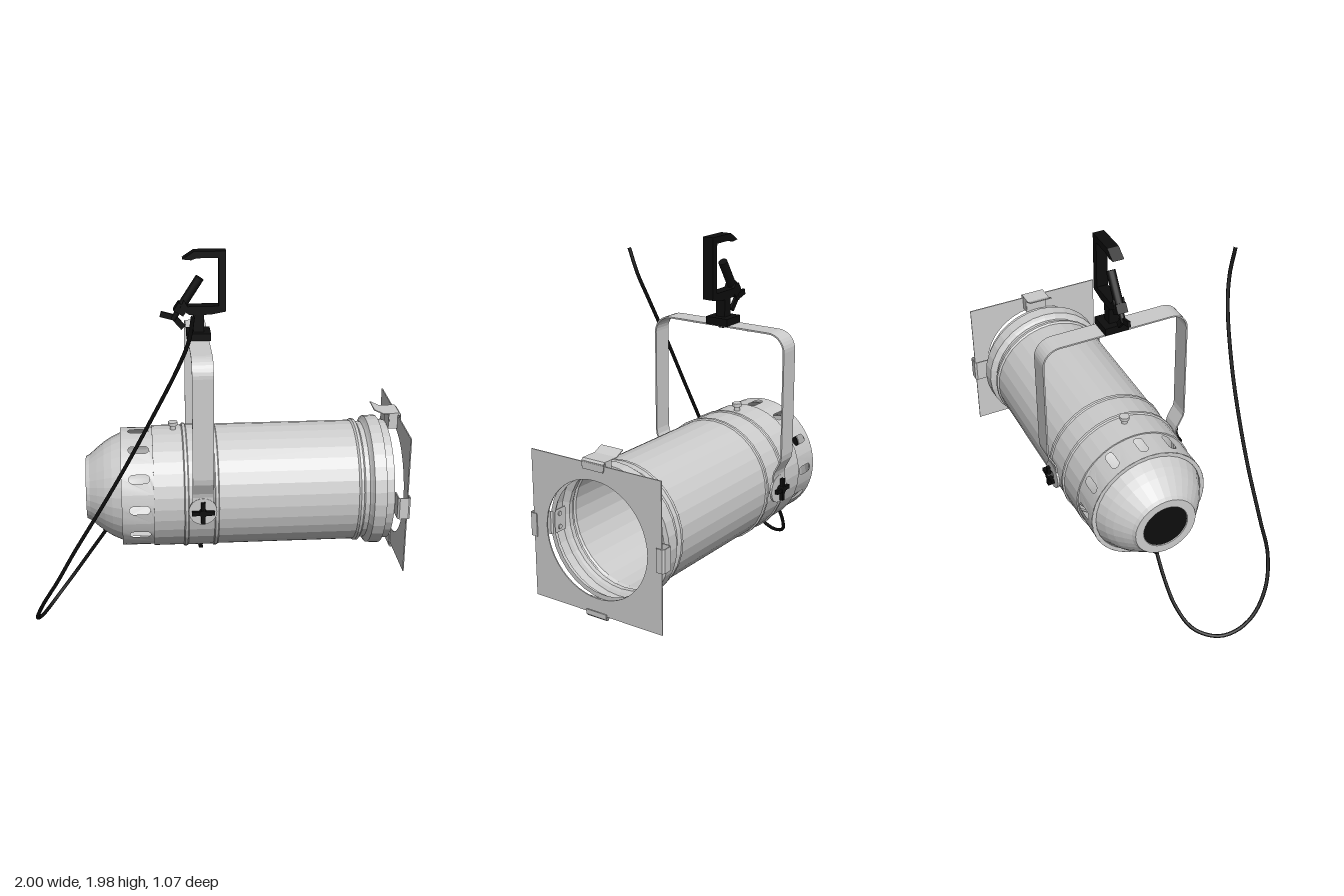
import * as THREE from 'three';

const AXIS_Y = 0.68, AXIS_Z = -0.13, SIDES = 32;

export function createModel() {
  const model = new THREE.Group();
  const grey = new THREE.MeshStandardMaterial({ color: 0xcccccc, flatShading: true, side: THREE.DoubleSide });
  const smooth = new THREE.MeshStandardMaterial({ color: 0xcccccc, side: THREE.DoubleSide });
  const black = new THREE.MeshStandardMaterial({ color: 0x0d0d0d });

  const add = (parent, name, geometry, material, x = 0, y = 0, z = 0) => {
    const mesh = new THREE.Mesh(geometry, material);
    mesh.name = name;
    mesh.position.set(x, y, z);
    parent.add(mesh);
    return mesh;
  };
  const vecs = (pts) => pts.map(([x, y]) => new THREE.Vector2(x, y));

  // Revolves [x, radius] pairs around the x axis
  const turned = (pts) =>
    new THREE.LatheGeometry(pts.map(([x, r]) => new THREE.Vector2(r, x)), SIDES).rotateZ(-Math.PI / 2);

  // Extrudes an outline in xy, centred in z
  const slab = (shape, depth) =>
    new THREE.ExtrudeGeometry(shape, { depth, bevelEnabled: false, curveSegments: 24 }).translate(0, 0, -depth / 2);

  // Sheet metal strip following a path in xy, with its width along z
  const strip = (pts, thick, width) => {
    const p = vecs(pts), left = [], right = [];
    p.forEach((v, i) => {
      const a = p[Math.max(i - 1, 0)], b = p[Math.min(i + 1, p.length - 1)];
      const d = b.clone().sub(a).normalize().multiplyScalar(thick / 2);
      left.push(new THREE.Vector2(v.x - d.y, v.y + d.x));
      right.unshift(new THREE.Vector2(v.x + d.y, v.y - d.x));
    });
    return slab(new THREE.Shape([...left, ...right]), width);
  };

  // Everything concentric with the optical axis
  const can = new THREE.Group();
  can.name = 'can';
  can.position.set(0, AXIS_Y, AXIS_Z);
  model.add(can);

  add(can, 'rearDome', turned([
    [-0.70, 0.12], [-0.71, 0.125], [-0.71, 0.17], [-0.69, 0.18], [-0.65, 0.215], [-0.61, 0.247],
    [-0.57, 0.272], [-0.52, 0.295], [-0.51, 0.30], [-0.52, 0.30], [-0.52, 0.322]]), grey);
  add(can, 'rearCap', new THREE.CylinderGeometry(0.125, 0.125, 0.01, SIDES).rotateZ(Math.PI / 2), black, -0.70);
  add(can, 'barrel', turned([
    [-0.35, 0.322], [-0.35, 0.33], [-0.19, 0.33], [-0.185, 0.338], [-0.17, 0.338], [-0.165, 0.332],
    [-0.03, 0.332], [-0.025, 0.338], [-0.01, 0.338], [-0.005, 0.33], [0.74, 0.33], [0.75, 0.338],
    [0.765, 0.338], [0.775, 0.322], [0.80, 0.322], [0.81, 0.335], [0.82, 0.352], [0.885, 0.355],
    [0.89, 0.33], [0.93, 0.33], [0.93, 0.305]]), grey);

  // Vented band: twelve curved panels, each with a rounded slot
  const vents = new THREE.Group();
  vents.name = 'ventBand';
  can.add(vents);
  const R = 0.322, half = Math.PI / 12 * R, edge = [];
  for (let i = 0; i <= 6; i++) edge.push([-0.52, -half + (i / 6) * 2 * half]);
  for (let i = 6; i >= 0; i--) edge.push([-0.35, -half + (i / 6) * 2 * half]);
  const panel = new THREE.Shape(vecs(edge));
  const slot = new THREE.Path();
  slot.absarc(-0.457, 0, 0.023, Math.PI / 2, Math.PI * 1.5);
  slot.absarc(-0.393, 0, 0.023, -Math.PI / 2, Math.PI / 2);
  panel.holes.push(slot);
  const panelGeo = new THREE.ShapeGeometry(panel, 6);
  const pos = panelGeo.attributes.position;
  for (let i = 0; i < pos.count; i++) {
    const a = pos.getY(i) / R;
    pos.setXYZ(i, pos.getX(i), R * Math.sin(a), R * Math.cos(a));
  }
  panelGeo.computeVertexNormals();
  for (let i = 0; i < 12; i++) add(vents, 'ventPanel', panelGeo, smooth).rotation.x = i * Math.PI / 6;

  // Lamp inside the barrel
  add(can, 'lamp', turned([
    [-0.69, 0.07], [-0.50, 0.07], [-0.36, 0.08], [-0.33, 0.14], [-0.27, 0.24], [-0.20, 0.305],
    [-0.18, 0.305], [-0.15, 0.23], [-0.13, 0.12], [-0.125, 0.001]]), smooth);

  // Square filter frame and its clips
  const frameShape = new THREE.Shape(vecs([[-0.385, -0.385], [0.385, -0.385], [0.385, 0.385], [-0.385, 0.385]]));
  frameShape.holes.push(new THREE.Path().absarc(0, 0, 0.303, 0, Math.PI * 2, true));
  add(can, 'filterFrame', slab(frameShape, 0.006).rotateY(Math.PI / 2), grey, 0.985, 0.004);
  const clipGeo = strip([[0.84, 0.315], [0.927, 0.315], [0.935, 0.323], [0.935, 0.392], [0.942, 0.4],
    [0.988, 0.4], [0.996, 0.394], [0.996, 0.36]], 0.006, 0.12);
  const bottomGeo = strip([[0.975, 0.30], [0.975, 0.39], [0.98, 0.397], [0.99, 0.397], [0.996, 0.39], [0.996, 0.365]], 0.006, 0.12);
  const topGeo = strip([[0.85, 0.432], [0.90, 0.408], [0.988, 0.408], [0.996, 0.40], [0.996, 0.37]], 0.005, 0.13);
  const rivetGeo = new THREE.CylinderGeometry(0.012, 0.012, 0.012, 10);
  [0, Math.PI / 2, Math.PI, -Math.PI / 2].forEach((angle, i) => {
    const clip = new THREE.Group();
    clip.name = ['topClip', 'leftClip', 'bottomClip', 'rightClip'][i];
    clip.rotation.x = angle;
    can.add(clip);
    add(clip, 'clipStrip', i === 2 ? bottomGeo : clipGeo, grey);
    if (i === 0) {
      add(clip, 'clipLever', topGeo, grey);
      for (const s of [-1, 1]) add(clip, 'clipCheek', new THREE.BoxGeometry(0.045, 0.085, 0.005), grey, 0.958, 0.363, s * 0.06);
    }
    if (i !== 2) for (const s of [-1, 1]) add(clip, 'rivet', rivetGeo, grey, 0.885, 0.312, s * 0.035);
  });

  // Stub on top of the barrel
  add(can, 'topStub', new THREE.CylinderGeometry(0.016, 0.016, 0.04, 12), grey, -0.235, 0.34);
  add(can, 'topStubHead', new THREE.CylinderGeometry(0.026, 0.026, 0.018, 12), grey, -0.235, 0.362);

  // Yoke: one bent strip, with round pivots and cross knobs at both ends
  const side = [[0.352, 0.64], [0.352, 0.76], [0.358, 0.785], [0.392, 0.85], [0.397, 0.88]];
  for (let i = 0; i <= 8; i++) {
    const a = i / 8 * Math.PI / 2;
    side.push([0.307 + 0.09 * Math.cos(a), 1.43 + 0.09 * Math.sin(a)]);
  }
  const yokePath = [...side, ...side.map(([z, y]) => [-z, y]).reverse()];
  add(model, 'yoke', strip(yokePath, 0.008, 0.11).rotateY(-Math.PI / 2), grey, -0.095, 0, AXIS_Z);

  const crossKnob = (name, parent) => {
    const knob = new THREE.Group();
    knob.name = name;
    for (const turn of [0, Math.PI / 2])
      add(knob, 'knobWing', new THREE.BoxGeometry(0.12, 0.022, 0.018), black).rotation.z = turn;
    add(knob, 'knobHub', new THREE.CylinderGeometry(0.02, 0.02, 0.024, 12).rotateX(Math.PI / 2), black);
    parent.add(knob);
    return knob;
  };
  for (const s of [-1, 1]) {
    add(model, 'pivotDisc', new THREE.CylinderGeometry(0.075, 0.075, 0.012, 24).rotateX(Math.PI / 2),
      grey, -0.095, AXIS_Y, AXIS_Z + s * 0.352);
    add(model, 'pivotPin', new THREE.CylinderGeometry(0.02, 0.02, 0.06, 12).rotateX(Math.PI / 2),
      black, -0.095, AXIS_Y, AXIS_Z + s * 0.345);
    crossKnob('pivotKnob', model).position.set(-0.095, AXIS_Y, AXIS_Z + s * 0.378);
    add(model, 'yokeBolt', new THREE.CylinderGeometry(0.026, 0.026, 0.012, 12), grey, -0.095, 1.512, AXIS_Z + s * 0.168);
  }

  // Locking knob under the barrel
  const lower = crossKnob('lowerKnob', model);
  lower.position.set(-0.09, 0.32, AXIS_Z);
  lower.rotation.x = Math.PI / 2;
  lower.scale.z = 0.6;
  add(model, 'lowerKnobStem', new THREE.CylinderGeometry(0.009, 0.009, 0.04, 10), black, -0.09, 0.34, AXIS_Z);

  // Hook clamp
  const clamp = new THREE.Group();
  clamp.name = 'hookClamp';
  clamp.position.z = AXIS_Z;
  model.add(clamp);
  add(clamp, 'hook', slab(new THREE.Shape(vecs([
    [-0.175, 1.95], [-0.115, 1.99], [0.05, 1.99], [0.05, 1.67], [-0.03, 1.655], [-0.14, 1.655],
    [-0.19, 1.69], [-0.17, 1.735], [-0.15, 1.70], [0.012, 1.70], [0.012, 1.955], [-0.10, 1.955],
    [-0.13, 1.945]])), 0.06), black);
  add(clamp, 'clampStem', new THREE.BoxGeometry(0.055, 0.11, 0.055), black, -0.093, 1.605);
  add(clamp, 'clampBase', new THREE.BoxGeometry(0.125, 0.04, 0.13), black, -0.093, 1.542);
  add(clamp, 'clampNut', new THREE.CylinderGeometry(0.028, 0.028, 0.02, 6), black, -0.093, 1.513);

  // Diagonal clamp screw with a wing handle
  const screw = new THREE.Group();
  screw.name = 'clampScrew';
  screw.position.set(-0.22, 1.635, 0);
  screw.rotation.z = -0.57;
  clamp.add(screw);
  add(screw, 'screwShaft', new THREE.CylinderGeometry(0.015, 0.015, 0.1, 10), black, 0, 0.04);
  add(screw, 'screwCollar', new THREE.BoxGeometry(0.06, 0.05, 0.055), black, 0.003, 0.06);
  add(screw, 'screwPad', new THREE.CylinderGeometry(0.024, 0.024, 0.17, 12), black, 0, 0.165);
  for (const s of [-1, 1])
    add(screw, 'screwWing', new THREE.BoxGeometry(0.075, 0.03, 0.014), black, s * 0.035, -0.01).rotation.z = -s * 0.3;

  // Power cable and its gland
  const cable = new THREE.CatmullRomCurve3([
    [-0.155, 1.84, 0.525], [-0.175, 1.70, 0.487], [-0.23, 1.55, 0.453], [-0.36, 1.28, 0.418],
    [-0.49, 1.03, 0.402], [-0.62, 0.80, 0.395], [-0.77, 0.55, 0.397], [-0.86, 0.39, 0.40],
    [-0.94, 0.24, 0.352], [-0.985, 0.11, 0.26], [-0.988, 0.04, 0.16], [-0.96, 0.016, 0.06],
    [-0.89, 0.06, -0.05], [-0.80, 0.16, -0.105], [-0.71, 0.28, -0.125], [-0.60, 0.435, -0.13],
  ].map((p) => new THREE.Vector3(...p)));
  add(model, 'cable', new THREE.TubeGeometry(cable, 90, 0.01, 8), black);
  add(model, 'cableGland', new THREE.SphereGeometry(0.03, 12, 8), black, -0.605, 0.435, AXIS_Z);

  return model;
}
